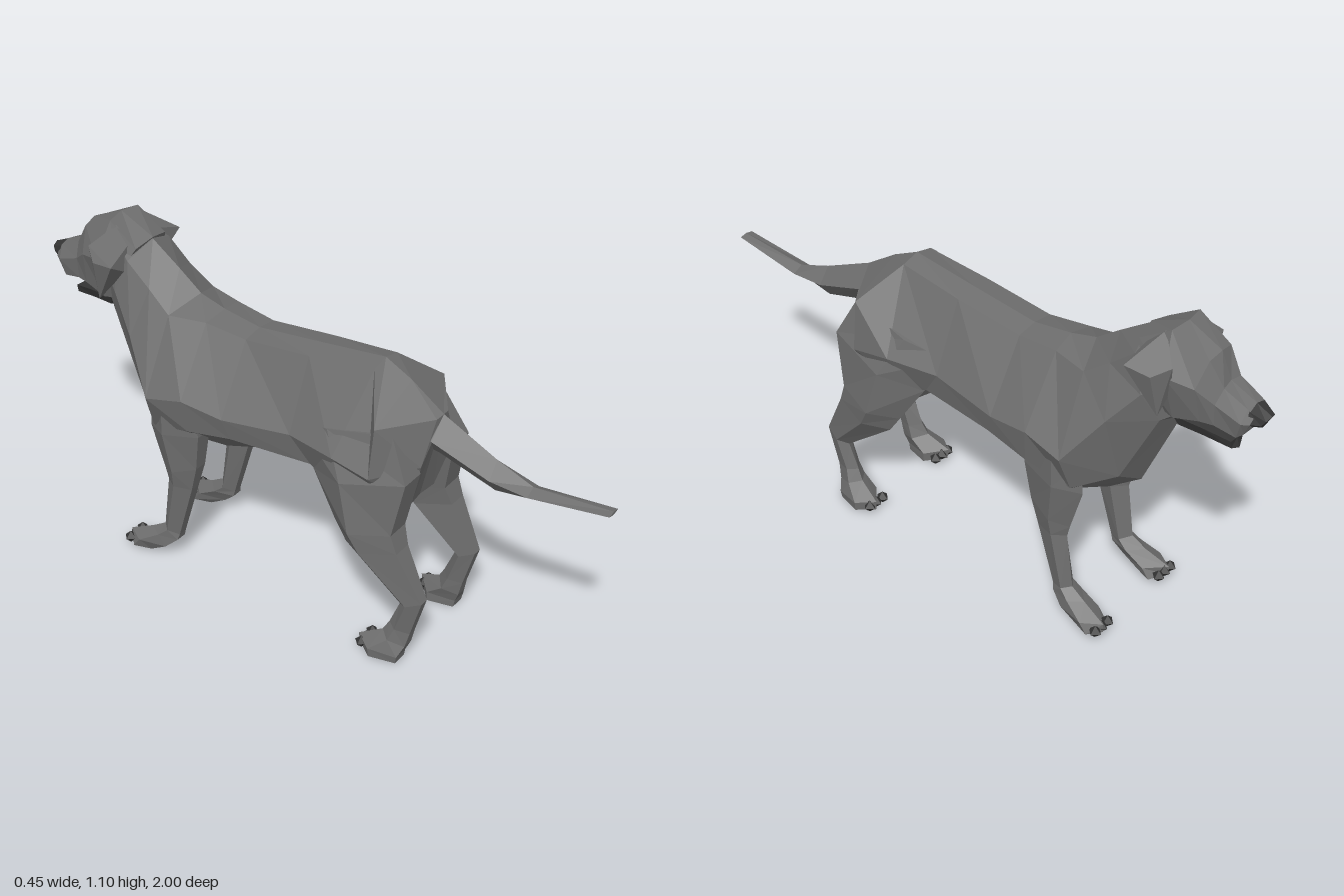
import * as THREE from 'three';
import { ConvexGeometry } from 'three/addons/geometries/ConvexGeometry.js';

const coat = new THREE.MeshStandardMaterial({ color: 0x6e6e6e, flatShading: true });
const dark = new THREE.MeshStandardMaterial({ color: 0x363636, flatShading: true });

// Skin a closed, capped surface over rings that share the same point count.
function loft(rings) {
  const n = rings[0].length;
  const tris = [];
  for (let i = 0; i < rings.length - 1; i++) {
    for (let j = 0; j < n; j++) {
      const k = (j + 1) % n;
      const a = rings[i][j], b = rings[i][k], c = rings[i + 1][k], d = rings[i + 1][j];
      tris.push([a, b, c], [a, c, d]);
    }
  }
  const first = rings[0], last = rings[rings.length - 1];
  for (let j = 1; j < n - 1; j++) {
    tris.push([first[0], first[j + 1], first[j]], [last[0], last[j], last[j + 1]]);
  }
  // Turn the faces outward if the enclosed volume is negative.
  const v = (p) => new THREE.Vector3(...p);
  const volume = tris.reduce((s, [a, b, c]) => s + v(a).dot(v(b).cross(v(c))), 0);
  if (volume < 0) tris.forEach((t) => t.reverse());
  const geometry = new THREE.BufferGeometry();
  geometry.setAttribute('position', new THREE.Float32BufferAttribute(tris.flat(2), 3));
  geometry.computeVertexNormals();
  return geometry;
}

// Complete a half ring (top centre to bottom centre) by mirroring it in x.
function mirrorRing(half) {
  const other = half.slice(1, -1).reverse().map(([x, y, z]) => [-x, y, z]);
  return [...half, ...other];
}

// Five-sided limb ring: front ridge, flat outer and inner sides, narrow back.
function limbRing([zf, yf, zb, yb, xi, xo]) {
  const at = (t, s) => [xi + (xo - xi) * s, yf + (yb - yf) * t, zf + (zb - zf) * t];
  return [at(0, 0.6), at(0.4, 1), at(1, 0.75), at(1, 0.25), at(0.4, 0)];
}

// Diamond ring for the tail.
function tailRing([zt, yt, zb, yb, w]) {
  const y = (yt + yb) / 2, z = (zt + zb) / 2;
  return [[0, yt, zt], [w, y, z], [0, yb, zb], [-w, y, z]];
}

export function createModel() {
  const model = new THREE.Group();
  model.name = 'dog';

  function add(name, geometry, parent = model, material = coat) {
    const mesh = new THREE.Mesh(geometry, material);
    mesh.name = name;
    parent.add(mesh);
    return mesh;
  }

  // Rump, barrel, chest and neck; each row runs from spine to belly
  add('body', loft([
    [[0, .80, .45], [.03, .795, .445], [.09, .66, .435], [.06, .50, .39], [0, .495, .38]],
    [[0, .875, .34], [.185, .80, .335], [.205, .64, .33], [.12, .51, .30], [0, .495, .29]],
    [[0, .92, .25], [.06, .905, .25], [.20, .66, .20], [.15, .54, .15], [0, .53, .12]],
    [[0, .892, .03], [.07, .88, .03], [.17, .66, .03], [.15, .57, .09], [0, .525, .10]],
    [[0, .865, -.20], [.07, .855, -.20], [.20, .64, -.20], [.185, .572, -.18], [0, .435, -.19]],
    [[0, .885, -.33], [.08, .87, -.34], [.215, .66, -.34], [.20, .55, -.33], [0, .385, -.34]],
    [[0, .91, -.42], [.11, .87, -.46], [.225, .63, -.47], [.18, .51, -.48], [0, .41, -.49]],
    [[0, .97, -.50], [.10, .93, -.54], [.16, .78, -.575], [.10, .56, -.59], [0, .495, -.60]],
    [[0, 1.04, -.60], [.10, 1.0, -.62], [.12, .89, -.66], [.08, .80, -.70], [0, .78, -.72]],
    [[0, 1.06, -.68], [.07, 1.04, -.69], [.09, .92, -.71], [.06, .82, -.73], [0, .80, -.74]],
  ].map(mirrorRing)));

  // Skull and muzzle
  const head = new THREE.Group();
  head.name = 'head';
  model.add(head);
  add('skull', loft([
    [[0, 1.045, -.60], [.07, 1.03, -.61], [.11, .95, -.65], [.07, .84, -.68], [0, .82, -.70]],
    [[0, 1.10, -.72], [.065, 1.095, -.71], [.12, .98, -.73], [.08, .83, -.74], [0, .79, -.74]],
    [[0, 1.05, -.83], [.05, 1.04, -.825], [.09, .96, -.81], [.07, .85, -.82], [0, .82, -.82]],
    [[0, .97, -.865], [.04, .965, -.87], [.065, .92, -.86], [.06, .85, -.86], [0, .835, -.86]],
    [[0, .935, -.95], [.035, .93, -.945], [.058, .89, -.94], [.05, .835, -.925], [0, .845, -.93]],
    [[0, .922, -.965], [.03, .915, -.965], [.045, .89, -.96], [.035, .845, -.94], [0, .85, -.945]],
  ].map(mirrorRing), head));
  add('nose', loft([
    [[0, .935, -.95], [.036, .925, -.95], [.048, .89, -.95], [0, .85, -.94]],
    [[0, .912, -1.0], [.022, .905, -.995], [.028, .89, -.985], [0, .865, -.975]],
  ].map(mirrorRing)), head, dark);
  add('lowerJaw', loft([
    [[0, .83, -.72], [.06, .82, -.73], [.05, .79, -.74], [0, .785, -.73]],
    [[0, .815, -.82], [.05, .815, -.82], [.04, .785, -.82], [0, .778, -.83]],
    [[0, .795, -.90], [.03, .797, -.90], [.025, .772, -.90], [0, .766, -.91]],
  ].map(mirrorRing)), head, dark);

  // Tail; each row is top z, y, bottom z, y and half width
  add('tail', loft([
    [.40, .81, .40, .67, .06],
    [.45, .80, .44, .665, .055],
    [.63, .715, .63, .61, .04],
    [.75, .67, .75, .635, .035],
    [1.0, .69, 1.0, .68, .025],
  ].map(tailRing)));

  // Ears, legs and paws in mirrored pairs; each limb row is front z, y, back z, y, inner x, outer x
  const frontLeg = loft([
    [-.50, .60, -.32, .64, .09, .205],
    [-.51, .49, -.31, .52, .09, .205],
    [-.465, .34, -.33, .39, .10, .19],
    [-.455, .30, -.355, .30, .11, .18],
    [-.48, .115, -.415, .10, .115, .175],
    [-.53, .085, -.42, .08, .11, .185],
    [-.61, .05, -.46, .045, .11, .205],
    [-.61, .02, -.52, .01, .11, .205],
  ].map(limbRing));
  const hindLeg = loft([
    [.02, .70, .37, .77, .08, .165],
    [.10, .56, .435, .64, .05, .212],
    [.19, .42, .40, .46, .07, .225],
    [.23, .36, .42, .40, .09, .215],
    [.42, .205, .50, .24, .12, .18],
    [.385, .12, .462, .11, .12, .178],
    [.365, .085, .45, .06, .115, .19],
    [.29, .045, .435, .025, .115, .218],
    [.295, .01, .43, .0, .115, .215],
  ].map(limbRing));
  const ear = new ConvexGeometry([
    [.06, 1.085, -.69], [.165, 1.0, -.63], [.155, .99, -.71], [.10, .96, -.63],
    [.125, .85, -.72], [.12, 1.02, -.755], [.09, .93, -.74], [.06, 1.04, -.64],
  ].map((p) => new THREE.Vector3(...p)));
  const toe = new THREE.OctahedronGeometry(.022);

  for (const [side, s] of [['left', 1], ['right', -1]]) {
    const half = new THREE.Group();
    half.name = side + 'Side';
    half.scale.x = s;
    model.add(half);
    add('ear', ear, half);
    add('frontLeg', frontLeg, half);
    add('hindLeg', hindLeg, half);
    // Three small dark toes on each paw
    for (const [name, z, y] of [['frontToe', -.598, .032], ['hindToe', .308, .028]]) {
      for (let i = 0; i < 3; i++) {
        add(name, toe, half, dark).position.set(.13 + i * .03, y, z);
      }
    }
  }
  return model;
}
